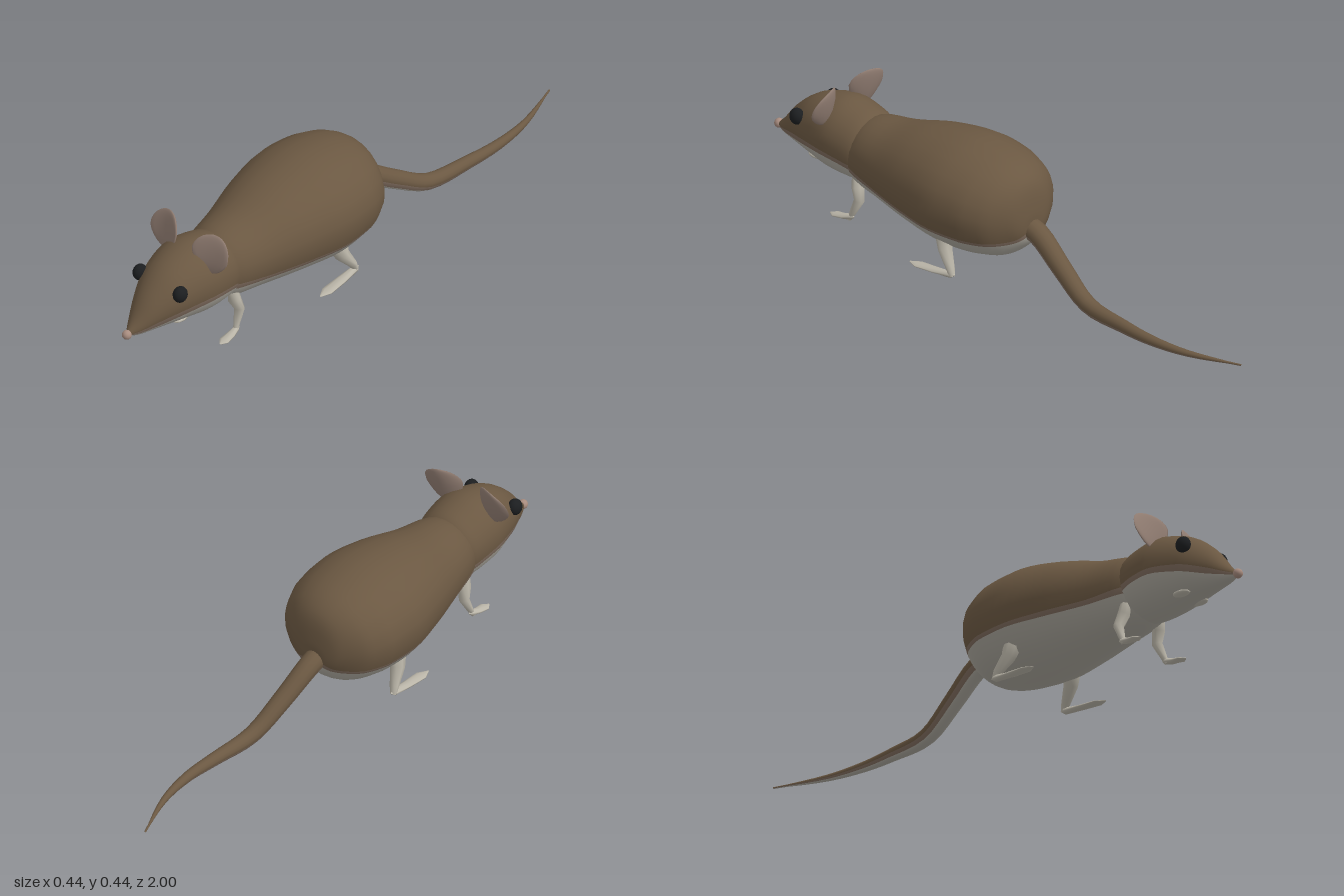
import * as THREE from 'three';

const mat = (name, color) => {
  const m = new THREE.MeshStandardMaterial({ color });
  m.name = name;
  return m;
};
const fur = mat('brown fur', 0x6b5842);
const flank = mat('flank fur', 0x7d6a5c);
const belly = mat('pale belly', 0xaaa69c);
const skin = mat('pale skin', 0xbab5a8);
const ear = mat('ear pink', 0x917d72);
const nose = mat('nose pink', 0xa88c7f);
const black = mat('eye black', 0x1c1e20);
const coat = [fur, flank, belly];

// Skin rings { c, rx, ry, s1, s2 }, given from front to back (or top to bottom).
// s1 and s2 are the angles where brown meets flank and flank meets belly.
function loft(rings, nTop, nBelly) {
  const bands = [...Array(nTop).fill(0), 1, ...Array(nBelly).fill(2), 1];
  const K = bands.length, pos = [], index = [];
  rings.forEach((r, i) => {
    const t = rings[Math.min(i + 1, rings.length - 1)].c.clone().sub(rings[Math.max(i - 1, 0)].c).normalize();
    if (r.straight) t.set(0, 0, -1);
    const side = new THREE.Vector3(1, 0, 0).addScaledVector(t, -t.x).normalize();
    const up = side.clone().cross(t);
    const angles = [];
    for (let k = 0; k <= nTop; k++) angles.push(r.s1 + (Math.PI - 2 * r.s1) * k / nTop);
    for (let k = 0; k <= nBelly; k++) angles.push(Math.PI - r.s2 + (Math.PI + 2 * r.s2) * k / nBelly);
    for (const a of angles) {
      const p = r.c.clone().addScaledVector(side, Math.cos(a) * r.rx).addScaledVector(up, Math.sin(a) * r.ry);
      pos.push(p.x, p.y, p.z);
    }
  });
  const g = new THREE.BufferGeometry();
  for (let m = 0; m < 3; m++) {
    const start = index.length;
    for (let i = 0; i < rings.length - 1; i++) {
      for (let j = 0; j < K; j++) {
        if (bands[j] !== m) continue;
        const k = (j + 1) % K, a = i * K, b = a + K;
        index.push(a + j, b + j, b + k, a + j, b + k, a + k);
      }
    }
    g.addGroup(start, index.length - start, m);
  }
  g.setAttribute('position', new THREE.Float32BufferAttribute(pos, 3));
  g.setIndex(index);
  g.computeVertexNormals();
  return g;
}

// Smooth trunk from rows of z, top, bottom, half width, brown edge y, belly edge y
function trunk(rows, steps) {
  const A = new THREE.CatmullRomCurve3(rows.map(r => new THREE.Vector3(r[0], r[1], r[2])));
  const B = new THREE.CatmullRomCurve3(rows.map(r => new THREE.Vector3(r[3], r[4], r[5])));
  const rings = [];
  for (let i = 0; i <= steps; i++) {
    const a = A.getPoint(i / steps), b = B.getPoint(i / steps);
    const cy = (a.y + a.z) / 2, ry = Math.max((a.y - a.z) / 2, 0.001);
    const angle = y => Math.asin(THREE.MathUtils.clamp((y - cy) / ry, -0.9, 0.6));
    const s1 = angle(b.y);
    rings.push({
      c: new THREE.Vector3(0, cy, a.x), rx: Math.max(b.x, 0.001), ry,
      s1, s2: Math.min(angle(b.z), s1 - 0.02), straight: true,
    });
  }
  return loft(rings, 14, 10);
}

// Faceted limb through points x, y, z, rx, ry
function limb(points) {
  const rings = points.map(p => ({ c: new THREE.Vector3(p[0], p[1], p[2]), rx: p[3], ry: p[4], s1: 0.3, s2: -0.3 }));
  return loft(rings, 3, 3);
}

function add(parent, name, geometry, material) {
  const m = new THREE.Mesh(geometry, material);
  m.name = name;
  parent.add(m);
  return m;
}

const ball = (rx, ry, rz, w = 18, h = 12) => new THREE.SphereGeometry(1, w, h).scale(rx, ry, rz);

export function createModel() {
  const model = new THREE.Group();
  model.name = 'mouse';

  add(model, 'body', trunk([
    [0.66, 0.29, 0.15, 0.06, 0.21, 0.19],
    [0.58, 0.345, 0.11, 0.118, 0.205, 0.185],
    [0.46, 0.368, 0.093, 0.15, 0.19, 0.175],
    [0.32, 0.408, 0.075, 0.19, 0.185, 0.17],
    [0.16, 0.43, 0.062, 0.219, 0.18, 0.168],
    [0.04, 0.418, 0.07, 0.208, 0.178, 0.166],
    [-0.04, 0.392, 0.09, 0.17, 0.175, 0.163],
    [-0.09, 0.345, 0.135, 0.105, 0.175, 0.163],
    [-0.11, 0.26, 0.175, 0.05, 0.19, 0.18],
    [-0.112, 0.215, 0.21, 0.002, 0.21, 0.208],
  ], 36), coat);

  add(model, 'head', trunk([
    [0.985, 0.172, 0.164, 0.004, 0.168, 0.165],
    [0.95, 0.208, 0.153, 0.028, 0.178, 0.168],
    [0.89, 0.282, 0.146, 0.062, 0.2, 0.18],
    [0.81, 0.345, 0.139, 0.1, 0.222, 0.2],
    [0.7, 0.377, 0.122, 0.126, 0.23, 0.212],
    [0.63, 0.367, 0.118, 0.124, 0.222, 0.205],
    [0.57, 0.345, 0.125, 0.112, 0.21, 0.19],
    [0.53, 0.27, 0.2, 0.03, 0.23, 0.21],
  ], 30), coat);

  add(model, 'nose', ball(0.016, 0.016, 0.016), nose).position.set(0, 0.169, 0.984);

  // Tail: droops to the ground, then sweeps sideways to a thin tip
  const path = new THREE.CatmullRomCurve3([
    [0, 0.2, -0.06], [0, 0.185, -0.13], [0.018, 0.11, -0.25], [0.04, 0.038, -0.38],
    [0.06, 0.032, -0.55], [0.069, 0.033, -0.68], [0.054, 0.033, -0.82], [-0.005, 0.033, -1],
  ].map(p => new THREE.Vector3(...p)));
  const tail = [];
  for (let i = 0; i <= 28; i++) {
    const c = path.getPoint(i / 28);
    const r = Math.max(0.003, 0.04 * (1 + c.z) ** 0.75);
    tail.push({ c, rx: r, ry: r, s1: -0.2, s2: -0.75 });
  }
  add(model, 'tail', loft(tail, 8, 6), coat);

  for (const s of [1, -1]) {
    const side = s > 0 ? 'left' : 'right';

    // Thin cupped ear, leaning slightly back
    const e = ball(0.068, 0.068, 0.011, 16, 12);
    const p = e.attributes.position;
    for (let i = 0; i < p.count; i++) {
      const x = p.getX(i), y = p.getY(i);
      p.setZ(i, p.getZ(i) + 4 * x * x - 0.008);
      p.setX(i, x * (y < 0 ? 1 + 3 * y : 1));
    }
    e.computeVertexNormals();
    const earMesh = add(model, side + 'Ear', e, ear);
    earMesh.position.set(s * 0.098, 0.378, 0.695);
    earMesh.rotation.set(-0.22, s * 0.2, -s * 0.15);

    add(model, side + 'Eye', ball(0.023, 0.028, 0.026), black).position.set(s * 0.087, 0.288, 0.828);
    add(model, side + 'ChinPad', ball(0.02, 0.009, 0.035, 10, 8), skin).position.set(s * 0.043, 0.147, 0.78);

    const legs = [skin, skin, skin];
    add(model, side + 'FrontLeg', limb([
      [s * 0.08, 0.16, 0.575, 0.018, 0.018], [s * 0.083, 0.125, 0.57, 0.022, 0.022],
      [s * 0.092, 0.085, 0.556, 0.019, 0.017], [s * 0.1, 0.03, 0.58, 0.01, 0.01],
      [s * 0.103, 0.01, 0.59, 0.008, 0.008],
    ]), legs);
    add(model, side + 'FrontFoot', limb([
      [s * 0.108, 0.008, 0.665, 0.002, 0.002], [s * 0.107, 0.01, 0.645, 0.018, 0.006],
      [s * 0.105, 0.014, 0.61, 0.015, 0.009], [s * 0.102, 0.022, 0.58, 0.01, 0.01],
      [s * 0.102, 0.024, 0.568, 0.001, 0.001],
    ]), legs);
    add(model, side + 'HindLeg', limb([
      [s * 0.13, 0.17, 0.15, 0.025, 0.03], [s * 0.138, 0.13, 0.145, 0.03, 0.035],
      [s * 0.148, 0.09, 0.135, 0.025, 0.025], [s * 0.162, 0.04, 0.1, 0.016, 0.014],
      [s * 0.165, 0.015, 0.09, 0.011, 0.01],
    ]), legs);
    add(model, side + 'HindFoot', limb([
      [s * 0.172, 0.007, 0.265, 0.002, 0.002], [s * 0.17, 0.009, 0.23, 0.02, 0.005],
      [s * 0.167, 0.013, 0.16, 0.018, 0.008], [s * 0.165, 0.02, 0.095, 0.013, 0.011],
      [s * 0.165, 0.023, 0.077, 0.001, 0.001],
    ]), legs);
  }
  return model;
}
